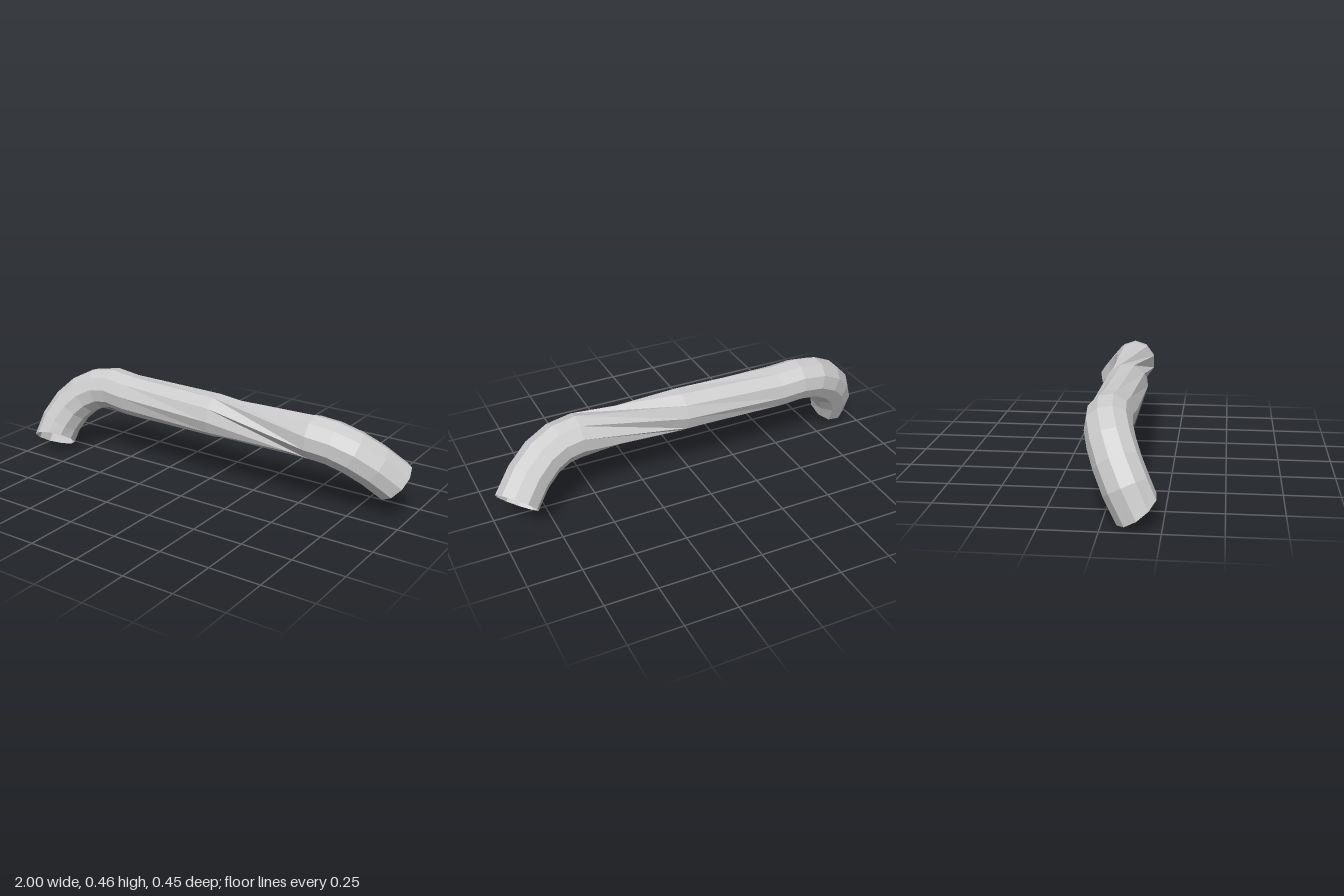
import * as THREE from 'three';

const SIDES = 10, RADIUS = 0.104;

// One ring of the pipe: centre, direction of travel, and roll about the pipe (degrees)
function ring(centre, tangent, roll) {
  const a = THREE.MathUtils.degToRad(roll);
  const t = tangent.clone().normalize();
  const n = new THREE.Vector3(0, Math.sin(a), Math.cos(a));
  n.addScaledVector(t, -n.dot(t)).normalize();
  const u = new THREE.Vector3().crossVectors(n, t).negate();
  return Array.from({ length: SIDES }, (_, i) => {
    const k = ((i + 0.5) / SIDES) * Math.PI * 2;
    return centre.clone().addScaledVector(n, RADIUS * Math.cos(k)).addScaledVector(u, -RADIUS * Math.sin(k));
  });
}

// Skin neighbouring rings with quads
function skin(rings) {
  const pos = [], index = [];
  rings.forEach((r) => r.forEach((p) => pos.push(p.x, p.y, p.z)));
  for (let j = 0; j < rings.length - 1; j++) {
    for (let i = 0; i < SIDES; i++) {
      const a = j * SIDES + i, b = j * SIDES + ((i + 1) % SIDES);
      const c = a + SIDES, d = b + SIDES;
      index.push(a, c, b, b, c, d);
    }
  }
  const g = new THREE.BufferGeometry();
  g.setAttribute('position', new THREE.Float32BufferAttribute(pos, 3));
  g.setIndex(index);
  // Turn the faces outward if the winding came out reversed
  const [p, q, s] = [rings[0][0], rings[1][0], rings[0][1]];
  const normal = q.clone().sub(p).cross(s.clone().sub(p));
  const centre = rings[0].reduce((m, v) => m.add(v), new THREE.Vector3()).divideScalar(SIDES);
  if (normal.dot(p.clone().sub(centre)) < 0) g.setIndex(index.reverse());
  const flat = g.toNonIndexed();
  flat.computeVertexNormals();
  return flat;
}

export function createModel() {
  const group = new THREE.Group();
  group.name = 'bentPipe';
  const rings = [];

  // Tight bend on the right, leaning forward as it drops
  const bend = [[-0.895, 0.064], [-0.88, 0.15], [-0.835, 0.235], [-0.77, 0.3],
    [-0.685, 0.345], [-0.59, 0.36], [-0.47, 0.348]]
    .map(([x, y]) => new THREE.Vector3(x, y, (0.353 - y) * 0.49));
  bend.forEach((c, i) => {
    let t;
    if (i === 0) t = new THREE.Vector3(-0.17, 0.8, -0.58);
    else if (i === bend.length - 1) t = new THREE.Vector3(1, -0.04, 0);
    else t = bend[i + 1].clone().sub(bend[i - 1]);
    rings.push(ring(c, t, 26));
  });

  // Middle of the straight run, partly twisted
  rings.push(ring(new THREE.Vector3(0.045, 0.347, 0.008), new THREE.Vector3(1, 0, 0), 16));

  // Wide bend on the left, leaning backward as it drops
  const sweep = new THREE.QuadraticBezierCurve3(
    new THREE.Vector3(0.57, 0.35, 0.004),
    new THREE.Vector3(0.757, 0.35, 0),
    new THREE.Vector3(0.915, 0.167, -0.134));
  for (let i = 0; i <= 4; i++) rings.push(ring(sweep.getPoint(i / 4), sweep.getTangent(i / 4), -36));

  const pipe = new THREE.Mesh(skin(rings), new THREE.MeshStandardMaterial({
    color: 0xcccccc, flatShading: true, side: THREE.DoubleSide }));
  pipe.name = 'pipe';
  group.add(pipe);
  return group;
}
